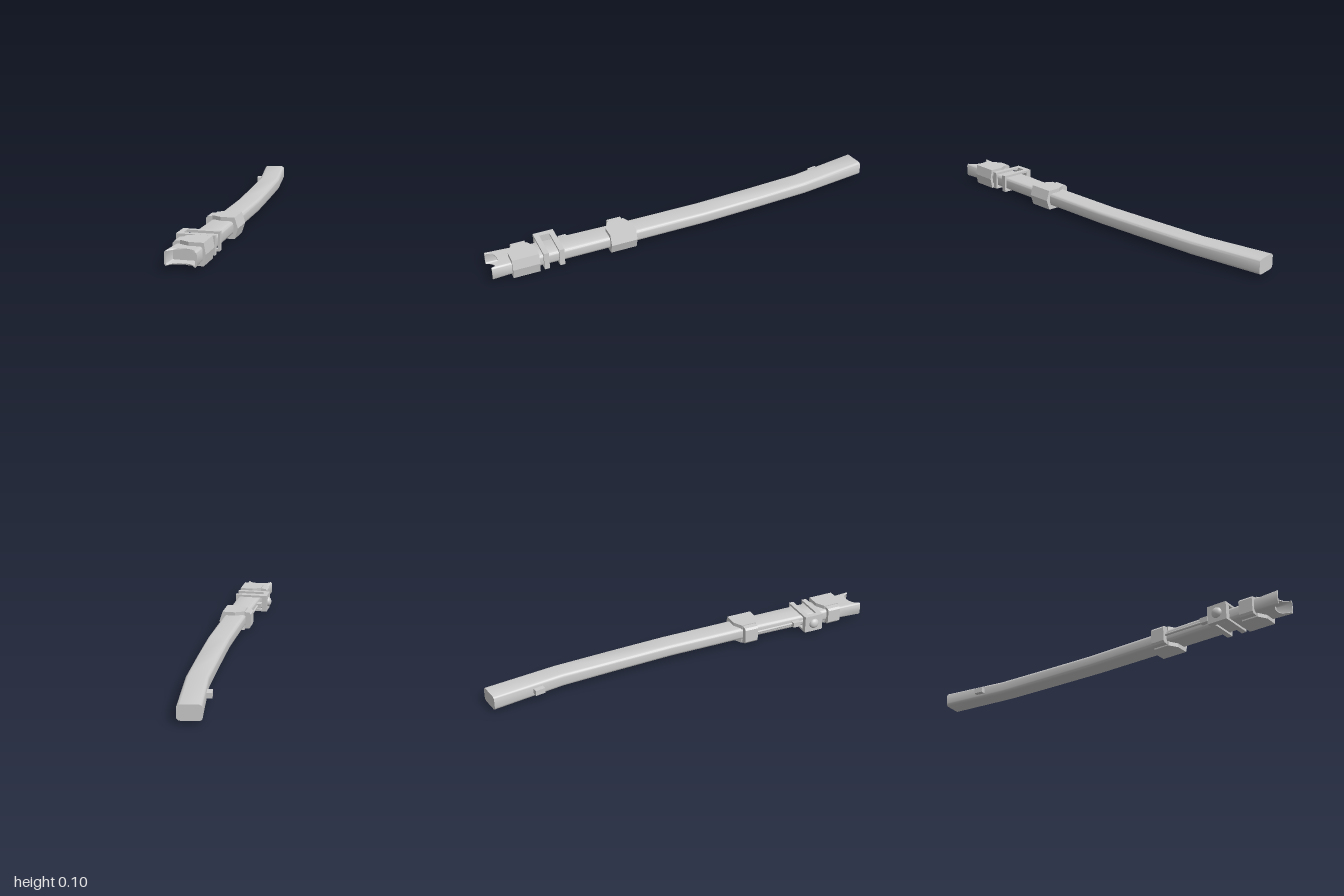
import * as THREE from 'three';
import { toCreasedNormals } from 'three/addons/utils/BufferGeometryUtils.js';

const mat = new THREE.MeshStandardMaterial({ color: 0xcccccc });
const MID = 0.051; // height of the scabbard's axis

function mesh(name, geo, x = 0, y = 0, z = 0) {
  const m = new THREE.Mesh(geo, mat);
  m.name = name;
  m.position.set(x, y, z);
  return m;
}

// Skin a list of equal-length rings of Vector3 and cap both ends.
function loft(rings, crease = 0.6) {
  const n = rings[0].length, pos = [], idx = [];
  rings.forEach(r => r.forEach(p => pos.push(p.x, p.y, p.z)));
  for (let j = 0; j < rings.length - 1; j++) {
    for (let i = 0; i < n; i++) {
      const k = (i + 1) % n, a = j * n + i, b = j * n + k;
      idx.push(a, b, b + n, a, b + n, a + n);
    }
  }
  [0, rings.length - 1].forEach((j, end) => {
    const c = new THREE.Vector3();
    rings[j].forEach(p => c.addScaledVector(p, 1 / n));
    const ci = pos.length / 3;
    pos.push(c.x, c.y, c.z);
    for (let i = 0; i < n; i++) {
      const a = j * n + i, b = j * n + (i + 1) % n;
      if (end) idx.push(ci, a, b); else idx.push(ci, b, a);
    }
  });
  const g = new THREE.BufferGeometry();
  g.setAttribute('position', new THREE.Float32BufferAttribute(pos, 3));
  g.setIndex(idx);
  return toCreasedNormals(g, crease);
}

// Rounded rectangle in x and y, counter-clockwise; zAt(u) gives z for u = -1..1 across the width.
function section(cx, hx, hy, r, zAt, steps = 1) {
  const pts = [];
  const put = (x, y) => pts.push(new THREE.Vector3(cx + x, MID + y, zAt(x / hx)));
  const corner = (sx, sy, start) => {
    for (let i = 0; i <= 4; i++) {
      const a = start + i * Math.PI / 8;
      put(sx * (hx - r) + r * Math.cos(a), sy * (hy - r) + r * Math.sin(a));
    }
  };
  const edge = (s) => {
    for (let i = 1; i < steps; i++) put(s * (hx - r) * Math.cos(i * Math.PI / steps), s * (hy - r) + s * r);
  };
  corner(1, 1, 0);
  edge(1);
  corner(-1, 1, Math.PI / 2);
  corner(-1, -1, Math.PI);
  edge(-1);
  corner(1, -1, Math.PI * 1.5);
  return pts;
}

// Curved scabbard: z, centre x, half width, half height, slant of the section
function scabbard() {
  const stations = [
    [-0.991, -0.053, 0.054, 0.036, 0.16],
    [-0.64, -0.001, 0.052, 0.033, 0.11],
    [-0.36, 0.015, 0.053, 0.032, 0.06],
    [-0.07, 0.029, 0.054, 0.031, 0.03],
    [0.3, 0.03, 0.055, 0.031, 0],
    [0.92, 0.024, 0.062, 0.031, 0],
  ];
  return loft(stations.map(([z, cx, hx, hy, s]) =>
    section(cx, hx, hy, 0.016, u => z - u * hx * s)));
}

// Hollow mouth with a scooped front edge
function throat() {
  const scoop = u => 1 - 0.043 * Math.sqrt(Math.max(0, 1 - (u / 0.86) ** 2));
  const ring = (hx, hy, r, f) => section(0.021, hx, hy, r, f, 16);
  return loft([
    ring(0.064, 0.032, 0.013, () => 0.88),
    ring(0.07, 0.034, 0.013, scoop),
    ring(0.063, 0.029, 0.009, scoop),
    ring(0.057, 0.024, 0.006, () => 0.925),
  ]);
}

// Band with tapered left end, ridged right side and a clasp block
function band(name, z, ridge) {
  const g = new THREE.Group();
  g.name = name;
  const level = (y, right) => [
    [right, 0.065], [right, -0.065], [0.025, -0.065],
    [-0.02, -0.04], [-0.02, 0.04], [0.025, 0.065],
  ].map(([x, dz]) => new THREE.Vector3(x, y, z + dz));
  g.add(mesh('bandPlate', loft([level(0, 0.091), level(0.05, ridge), level(0.1, 0.091)], 0.05)));
  const s = new THREE.Shape([
    [-0.053, 0.018], [-0.045, 0.008], [-0.01, 0.006],
    [-0.01, 0.096], [-0.045, 0.094], [-0.053, 0.084],
  ].map(p => new THREE.Vector2(...p)));
  g.add(mesh('bandClasp', new THREE.ExtrudeGeometry(s, { depth: 0.07, bevelEnabled: false }), 0, 0, z - 0.035));
  return g;
}

function rectPath(P, x0, x1, y0, y1) {
  const p = new P();
  p.moveTo(x0, y0); p.lineTo(x1, y0); p.lineTo(x1, y1); p.lineTo(x0, y1);
  p.closePath();
  return p;
}

// Belt clip: two loops around the scabbard joined by a side plate with a round stud
function beltClip() {
  const g = new THREE.Group();
  g.name = 'beltClip';
  for (const z of [0.655, 0.73]) {
    const s = rectPath(THREE.Shape, -0.06, 0.095, 0.007, 0.095);
    s.holes.push(rectPath(THREE.Path, -0.052, 0.086, 0.018, 0.084));
    g.add(mesh('clipLoop', new THREE.ExtrudeGeometry(s, { depth: 0.025, bevelEnabled: false }), 0, 0, z));
  }
  g.add(mesh('clipPlate', new THREE.BoxGeometry(0.026, 0.088, 0.1), -0.065, MID, 0.705));
  const stud = mesh('clipStud', new THREE.SphereGeometry(0.026, 20, 8, 0, Math.PI * 2, 0, Math.PI / 2), -0.077, MID, 0.705);
  stud.rotation.z = Math.PI / 2;
  stud.scale.y = 0.7;
  g.add(stud);
  return g;
}

export function createModel() {
  const model = new THREE.Group();
  model.name = 'scabbard';
  model.add(mesh('scabbardBody', scabbard()));
  model.add(mesh('throat', throat()));
  model.add(band('frontBand', 0.84, 0.1));
  model.add(band('rearBand', 0.36, 0.107));
  model.add(beltClip());

  // Side rod between the rear band and the clip, with its knob
  const rod = mesh('sideRod', new THREE.CylinderGeometry(0.006, 0.006, 0.29, 10), -0.035, MID, 0.525);
  rod.rotation.x = Math.PI / 2;
  model.add(rod);
  model.add(mesh('rodKnob', new THREE.BoxGeometry(0.026, 0.026, 0.04), -0.043, MID, 0.62));

  // Small lug near the tip
  const lug = mesh('tipLug', new THREE.BoxGeometry(0.03, 0.026, 0.048), -0.083, MID, -0.763);
  lug.rotation.y = 0.15;
  model.add(lug);
  return model;
}
